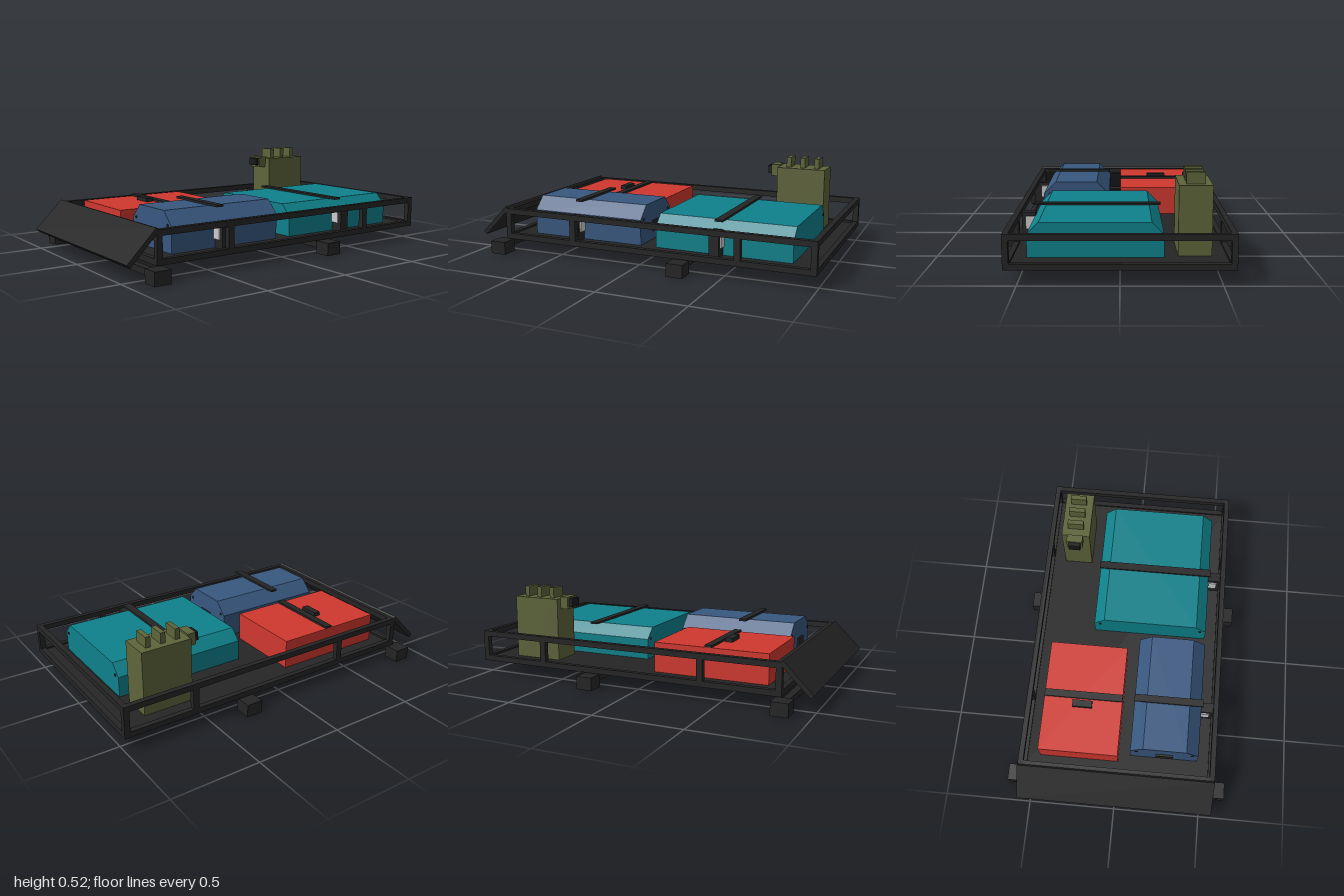
import * as THREE from 'three';

export function createModel() {
  const root = new THREE.Group();
  root.name = 'roofRack';
  const mat = (name, color) => {
    const m = new THREE.MeshStandardMaterial({ color });
    m.name = name;
    return m;
  };
  const black = mat('blackMetal', 0x252525);
  const capBlack = mat('capBlack', 0x1a1a1a);
  const teal = mat('teal', 0x0e818b);
  const blue = mat('blue', 0x38577f);
  const red = mat('red', 0xd0382f);
  const olive = mat('olive', 0x5e643b);
  const silver = mat('silver', 0xcccccc);

  // Box given by its min and max on each axis
  const box = (name, m, x0, x1, y0, y1, z0, z1) => {
    const mesh = new THREE.Mesh(new THREE.BoxGeometry(x1 - x0, y1 - y0, z1 - z0), m);
    mesh.position.set((x0 + x1) / 2, (y0 + y1) / 2, (z0 + z1) / 2);
    mesh.name = name;
    root.add(mesh);
    return mesh;
  };

  // Tray floor, rails and posts
  const W = 0.565, T = 0.03, BACK = -1, FRONT = 0.835;
  box('floor', black, -W, W, 0.078, 0.1, BACK, FRONT);
  for (const [name, y0, y1] of [['lowerRail', 0.078, 0.11], ['upperRail', 0.225, 0.257]]) {
    for (const s of [-1, 1]) {
      const x = s * (W - T / 2);
      box(name + 'Side', black, x - T / 2, x + T / 2, y0, y1, BACK, FRONT);
    }
    box(name + 'Back', black, -W + T, W - T, y0, y1, BACK, BACK + T);
    box(name + 'Front', black, -W + T, W - T, y0, y1, FRONT - T, FRONT);
  }
  for (const s of [-1, 1]) {
    for (const z of [BACK + T / 2, -0.585, 0.39, FRONT - T / 2]) {
      const x = s * (W - T / 2);
      box('post', black, x - T / 2, x + T / 2, 0.11, 0.225, z - 0.0175 + (z < -0.9 ? 0.0025 : 0), z + 0.0175 - (z > 0.8 ? 0.0025 : 0));
    }
  }

  // Wind deflector
  const deflector = new THREE.Mesh(new THREE.BoxGeometry(2 * W, 0.025, 0.23), black);
  deflector.position.set(0, 0.177, 0.91);
  deflector.rotation.x = Math.PI / 4;
  deflector.name = 'windDeflector';
  root.add(deflector);

  // Cross bars and feet
  for (const z of [0.847, -0.267]) {
    box('crossBar', black, -0.55, 0.55, 0.025, 0.06, z - 0.02, z + 0.02);
    for (const s of [-1, 1]) box('foot', black, s * 0.593 - 0.047, s * 0.593 + 0.047, 0, 0.073, z - 0.047, z + 0.047);
  }

  // Cargo case with sloped shoulders and corner bolts
  const cargoCase = (name, m, x0, x1, top, z0, z1, c) => {
    const s = new THREE.Shape([
      [x0, 0.1], [x1, 0.1], [x1, top - c], [x1 - c, top], [x0 + c, top], [x0, top - c],
    ].map(([x, y]) => new THREE.Vector2(x, y)));
    const mesh = new THREE.Mesh(new THREE.ExtrudeGeometry(s, { depth: z1 - z0, bevelEnabled: false }), m);
    mesh.position.z = z0;
    mesh.name = name;
    root.add(mesh);
    for (const z of [z0, z1]) {
      for (const x of [x0 + 0.035, x1 - 0.035]) {
        const bolt = new THREE.Mesh(new THREE.CylinderGeometry(0.008, 0.008, 0.008, 8), black);
        bolt.rotation.x = Math.PI / 2;
        bolt.position.set(x, top - c, z);
        bolt.name = name + 'Bolt';
        root.add(bolt);
      }
    }
  };
  cargoCase('tealCase', teal, -0.22, 0.465, 0.28, -0.855, -0.083, 0.062);
  cargoCase('blueCase', blue, 0.07, 0.465, 0.315, 0.01, 0.692, 0.073);
  for (const z of [0.005, 0.697]) box('blueCaseLatch', black, 0.22, 0.32, 0.15, 0.21, z - 0.006, z + 0.006);

  // Red box with top handle
  box('redBox', red, -0.46, 0, 0.1, 0.267, 0.08, 0.735);
  box('redBoxHandle', black, -0.29, -0.175, 0.267, 0.29, 0.43, 0.47);

  // Straps over the cargo
  box('redStrap', black, -0.46, 0, 0.267, 0.279, 0.375, 0.417);
  box('blueStrap', black, 0.07, 0.47, 0.315, 0.327, 0.375, 0.417);
  box('tealStrap', black, -0.22, 0.47, 0.28, 0.291, -0.472, -0.427);

  // Buckles at the strap ends
  for (const z of [0.398, -0.447]) {
    box('buckle', silver, 0.462, 0.515, 0.15, 0.22, z - 0.036, z + 0.036);
    box('buckleStrap', black, 0.46, 0.535, 0.1, 0.24, z - 0.028, z + 0.028);
  }

  // Fuel can with spout, cap and three grips
  box('fuelCan', olive, -0.46, -0.29, 0.1, 0.46, -0.833, -0.545);
  box('fuelCanSpout', olive, -0.425, -0.33, 0.4, 0.47, -0.545, -0.497);
  box('fuelCanCap', capBlack, -0.411, -0.341, 0.413, 0.461, -0.497, -0.473);
  for (const z of [-0.775, -0.69, -0.605]) {
    box('fuelCanGrip', olive, -0.425, -0.33, 0.46, 0.52, z - 0.014, z + 0.014);
  }
  return root;
}
